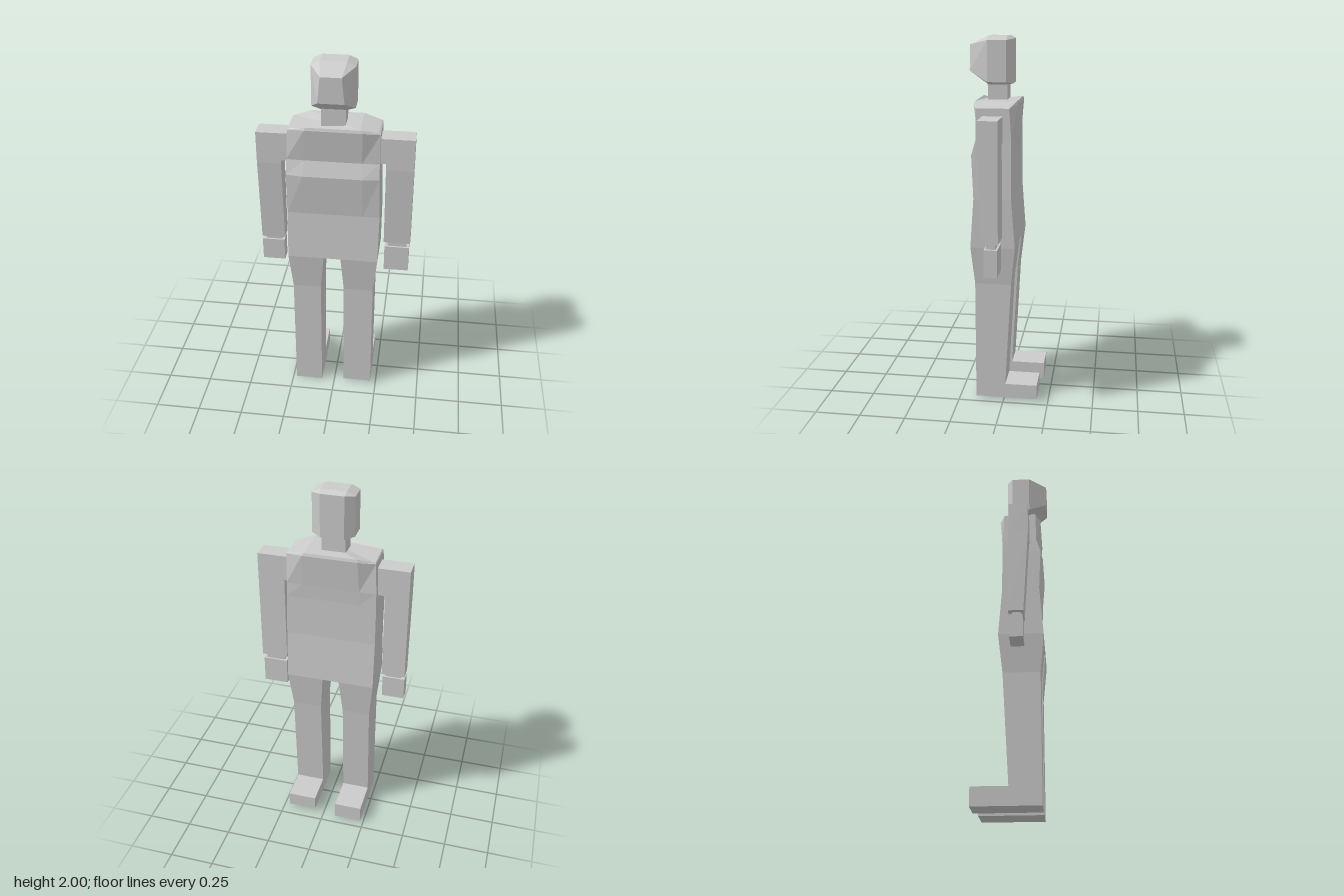
import * as THREE from 'three';
import { ConvexGeometry } from 'three/addons/geometries/ConvexGeometry.js';

const material = new THREE.MeshStandardMaterial({ color: 0xcccccc, flatShading: true });

function add(parent, geometry, name) {
  const mesh = new THREE.Mesh(geometry, material);
  mesh.name = name;
  parent.add(mesh);
  return mesh;
}

// Box given by its extents on each axis
function box(parent, name, [x0, x1], [y0, y1], [z0, z1]) {
  const mesh = add(parent, new THREE.BoxGeometry(x1 - x0, y1 - y0, z1 - z0), name);
  mesh.position.set((x0 + x1) / 2, (y0 + y1) / 2, (z0 + z1) / 2);
}

// Capped, flat-shaded skin over rings listed bottom to top, each anticlockwise from above
function loft(rings) {
  const n = rings[0].length, pos = [];
  const tri = (a, b, c) => pos.push(...a, ...b, ...c);
  for (let k = 0; k < rings.length - 1; k++) {
    for (let i = 0; i < n; i++) {
      const j = (i + 1) % n, lo = rings[k], hi = rings[k + 1];
      tri(lo[i], lo[j], hi[j]);
      tri(lo[i], hi[j], hi[i]);
    }
  }
  const bottom = rings[0], top = rings[rings.length - 1];
  for (let i = 1; i < n - 1; i++) {
    tri(bottom[0], bottom[i + 1], bottom[i]);
    tri(top[0], top[i], top[i + 1]);
  }
  const g = new THREE.BufferGeometry();
  g.setAttribute('position', new THREE.Float32BufferAttribute(pos, 3));
  g.computeVertexNormals();
  return g;
}

// Four-cornered ring
const rect = (y, x0, x1, z0, z1) => [[x1, y, z1], [x1, y, z0], [x0, y, z0], [x0, y, z1]];

// Eight-cornered torso ring: outer corners and inner points with their own heights and depths
function torsoRing(yo, yi, x0, x1, zoB, zoF, ziB, ziF) {
  const m0 = x0 + 0.09, m1 = x1 - 0.09;
  return [
    [m1, yi, ziF], [x1, yo, zoF], [x1, yo, zoB], [m1, yi, ziB],
    [m0, yi, ziB], [x0, yo, zoB], [x0, yo, zoF], [m0, yi, ziF],
  ];
}

export function createModel() {
  const figure = new THREE.Group();
  figure.name = 'figure';

  // Torso with a slightly hollow belly and back
  add(figure, loft([
    torsoRing(0.9, 0.9, -0.25, 0.24, -0.065, 0.175, -0.065, 0.175),
    torsoRing(1.17, 1.17, -0.25, 0.243, -0.045, 0.155, -0.045, 0.155),
    torsoRing(1.4, 1.4, -0.25, 0.237, -0.045, 0.165, -0.045, 0.175),
    torsoRing(1.48, 1.48, -0.248, 0.235, -0.045, 0.142, -0.05, 0.146),
    torsoRing(1.645, 1.655, -0.24, 0.235, -0.035, 0.14, -0.065, 0.165),
    torsoRing(1.65, 1.67, -0.235, 0.225, -0.03, 0.135, -0.06, 0.16),
  ]), 'torso');

  box(figure, 'neck', [-0.07, 0.055], [1.66, 1.77], [0, 0.105]);

  // Head: faceted block narrowing to a flat face
  const headPoints = [];
  const cx = -0.0075;
  for (const s of [-1, 1]) {
    for (const [x, y, z] of [
      [0.067, 1.82, 0.2], [0.053, 1.955, 0.2],
      [0.112, 1.765, 0.1], [0.112, 1.98, 0.1], [0.067, 1.75, 0.1], [0.067, 2, 0.1],
      [0.112, 1.765, 0], [0.112, 1.98, 0], [0.067, 1.75, 0], [0.067, 2, 0],
      [0.063, 1.755, -0.03], [0.063, 1.985, -0.03],
    ]) headPoints.push(new THREE.Vector3(cx + s * x, y, z));
  }
  add(figure, new ConvexGeometry(headPoints), 'head');

  // Legs: hip, thigh and shin in one skin, with a foot block behind
  for (const leg of [
    { name: 'right', hip: [-0.25, -0.055], shin: [-0.23, -0.075], base: 0, toe: -0.2 },
    { name: 'left', hip: [0.038, 0.24], shin: [0.055, 0.218], base: 0.015, toe: -0.187 },
  ]) {
    const g = new THREE.Group();
    g.name = leg.name + 'Leg';
    figure.add(g);
    add(g, loft([
      rect(leg.base, ...leg.shin, -0.01, 0.155),
      rect(0.1, ...leg.shin, -0.01, 0.155),
      rect(0.69, ...leg.shin, -0.042, 0.155),
      rect(0.9, ...leg.hip, -0.065, 0.175),
    ]), leg.name + 'Shank');
    box(g, leg.name + 'Foot', leg.shin, [leg.base, 0.098], [leg.toe, -0.01]);
  }

  // Arms: shoulder stub, tapering sleeve, wrist and hand
  for (const arm of [
    { name: 'right', x: [-0.413, -0.285], stub: [-0.285, -0.235], stubY: 1.45, cuff: 0.957,
      wrist: [-0.39, -0.305], hand: [-0.413, -0.29], handY: [0.81, 0.937] },
    { name: 'left', x: [0.265, 0.41], stub: [0.22, 0.265], stubY: 1.465, cuff: 0.97,
      wrist: [0.285, 0.39], hand: [0.27, 0.405], handY: [0.79, 0.94] },
  ]) {
    const g = new THREE.Group();
    g.name = arm.name + 'Arm';
    figure.add(g);
    add(g, loft([
      rect(arm.cuff, ...arm.x, 0, 0.078),
      rect(1.43, ...arm.x, 0, 0.105),
      rect(1.605, ...arm.x, 0, 0.105),
    ]), arm.name + 'Sleeve');
    box(g, arm.name + 'Shoulder', arm.stub, [arm.stubY, 1.605], [0, 0.105]);
    box(g, arm.name + 'Wrist', arm.wrist, [arm.handY[1], arm.cuff], [0.015, 0.065]);
    box(g, arm.name + 'Hand', arm.hand, arm.handY, [0.005, 0.075]);
  }

  return figure;
}
